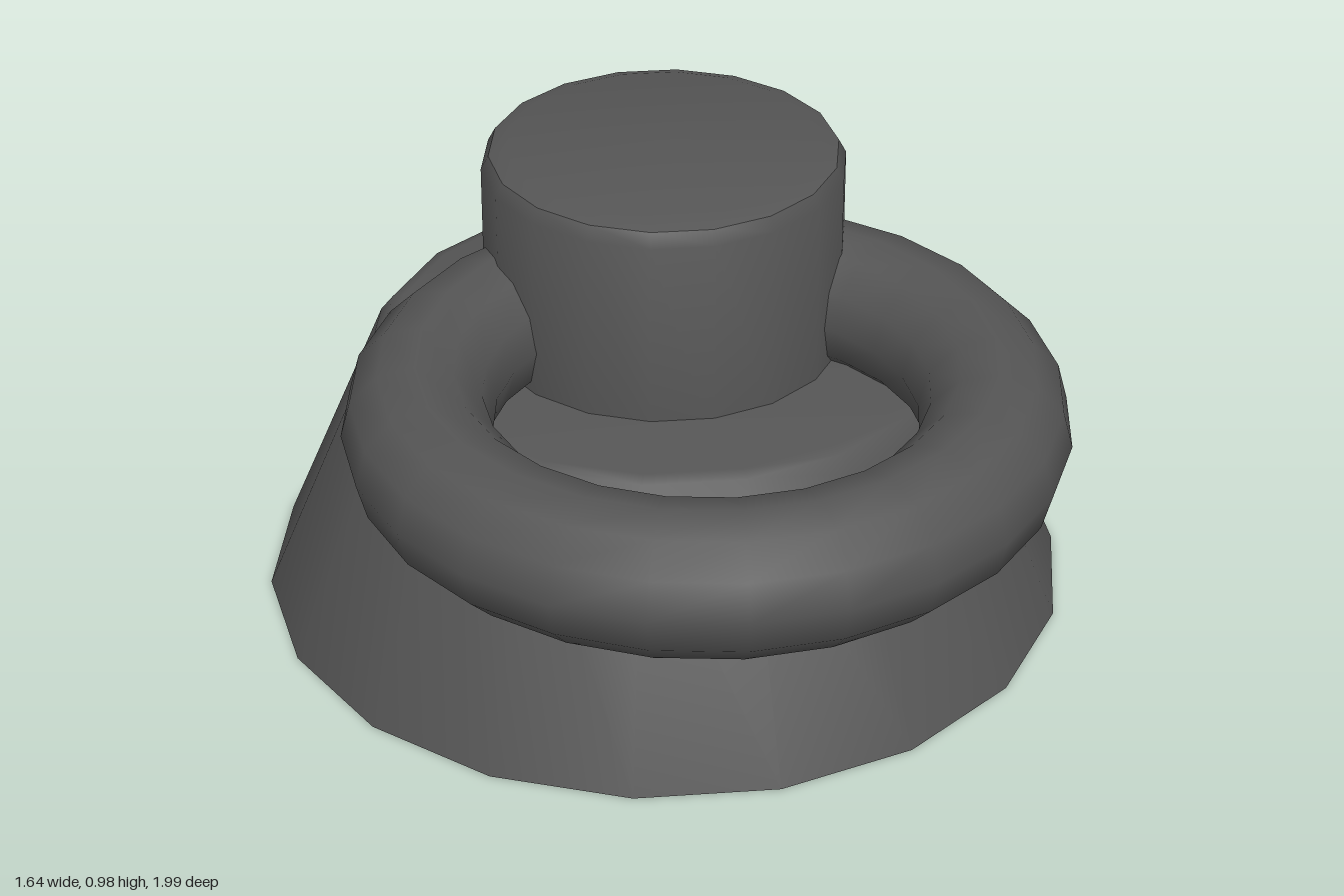
import * as THREE from 'three';
import { toCreasedNormals } from 'three/addons/utils/BufferGeometryUtils.js';

const AXIS_Z = -0.19; // shared axis of the base and the post
const SIDES = 18;

export function createModel() {
  const model = new THREE.Group();
  const material = new THREE.MeshStandardMaterial({ color: 0x555555 });

  const add = (name, geometry, x, y, z) => {
    const mesh = new THREE.Mesh(geometry, material);
    mesh.name = name;
    mesh.position.set(x, y, z);
    model.add(mesh);
    return mesh;
  };

  // Turned solid from a [radius, height] profile, with a corner on the x axis
  const turned = (profile) => {
    const points = profile.map(([r, y]) => new THREE.Vector2(r, y));
    const geometry = new THREE.LatheGeometry(points, SIDES);
    geometry.rotateY(Math.PI / SIDES);
    return toCreasedNormals(geometry, 0.7);
  };

  // Tapered base with a softened upper rim
  add('base', turned([
    [0, 0], [0.82, 0], [0.6, 0.52], [0.575, 0.552], [0.55, 0.56], [0, 0.56],
  ]), 0, 0, AXIS_Z);

  // Upright post, sunk slightly into the base
  add('post', turned([
    [0, 0.5], [0.36, 0.5], [0.36, 0.94], [0.345, 0.968], [0.31, 0.98], [0, 0.98],
  ]), 0, 0, AXIS_Z);

  // Horizontal ring passing through the post
  const ring = new THREE.TorusGeometry(0.546, 0.143, 12, 24);
  ring.rotateX(Math.PI / 2);
  add('ring', ring, 0.03, 0.653, 0.306);

  return model;
}
